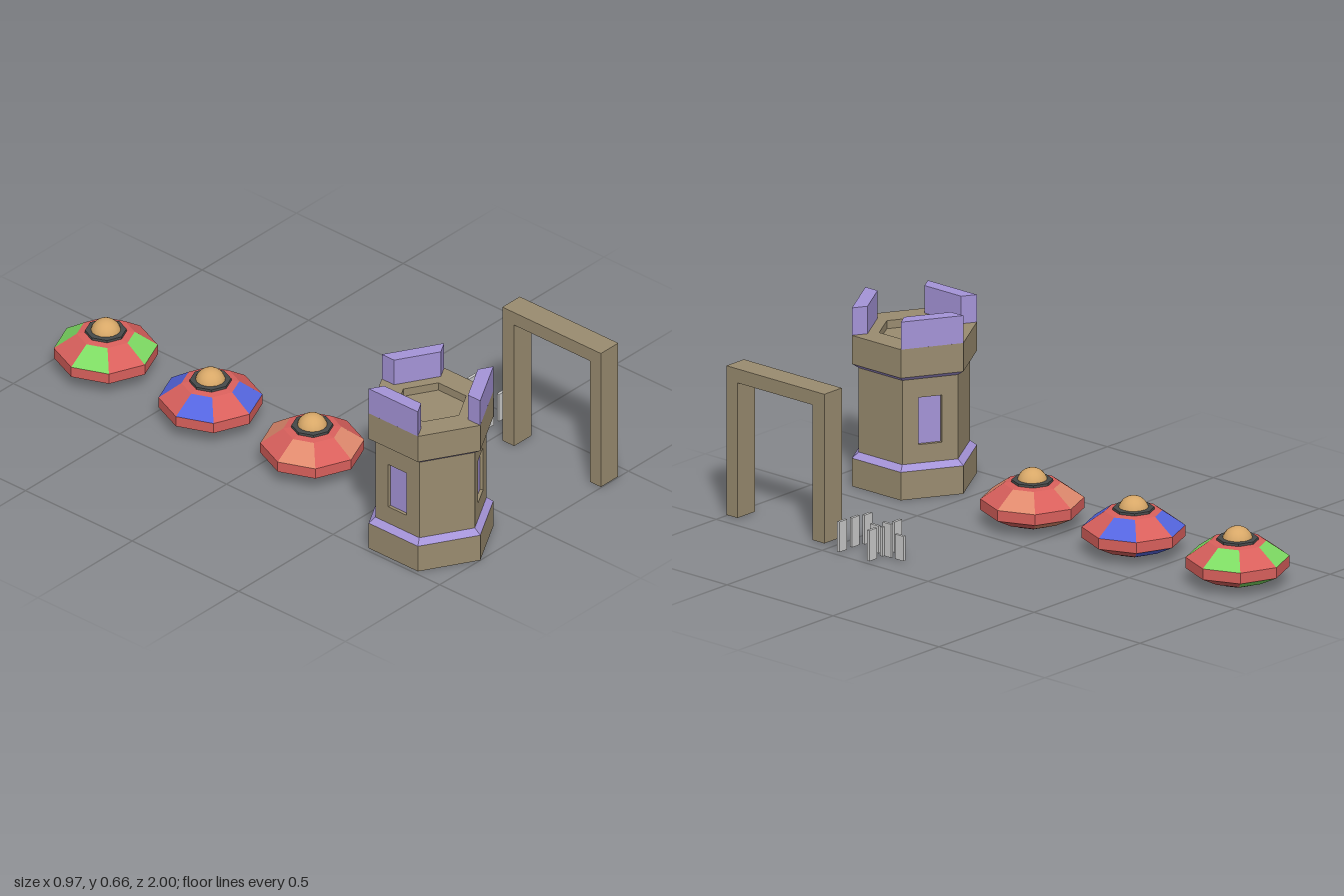
import * as THREE from 'three';

const paint = (color, flat = true) => new THREE.MeshStandardMaterial({ color, flatShading: flat });
const stone = paint(0x9a8c70), purple = paint(0xa594d8), red = paint(0xd9605c);
const dark = paint(0x454949), amber = paint(0xd8a868, false), grey = paint(0xcccccc);

function add(parent, name, geometry, material, x = 0, y = 0, z = 0) {
  const mesh = new THREE.Mesh(geometry, material);
  mesh.name = name;
  mesh.position.set(x, y, z);
  parent.add(mesh);
  return mesh;
}

// Surface of revolution from [radius, height] pairs
const lathe = (pts, sides, start = 0, length = Math.PI * 2) =>
  new THREE.LatheGeometry(pts.map(([r, y]) => new THREE.Vector2(r, y)), sides, start, length);

const polygon = (pts) => new THREE.Shape(pts.map(([x, y]) => new THREE.Vector2(x, y)));

// Hexagonal tower with recessed windows and three battlements
function createTower() {
  const tower = new THREE.Group();
  tower.name = 'tower';
  const R = 0.231, shaftR = 0.2055, apothem = 0.178;
  const y0 = 0.127, y1 = 0.44, recess = 0.012;

  add(tower, 'towerBase', lathe([[0, 0.003], [R, 0.003], [R, 0.107]], 6), stone);
  add(tower, 'lowerLedge', lathe([[R, 0.107], [shaftR, y0]], 6), purple);
  add(tower, 'upperLedge', lathe([[shaftR, y1], [R, 0.457]], 6), purple);
  add(tower, 'towerCrown',
    lathe([[R, 0.457], [R, 0.563], [0.13, 0.563], [0.13, 0.533], [0, 0.533]], 6), stone);

  for (let i = 0; i < 6; i++) {
    const side = new THREE.Group();
    side.name = 'towerSide';
    side.rotation.y = Math.PI / 6 + i * Math.PI / 3;
    tower.add(side);

    const h = shaftR / 2;
    const wall = polygon([[-h, y0], [h, y0], [h, y1], [-h, y1]]);
    const decorated = i % 2 === 0;
    if (decorated) {
      wall.holes.push(polygon([[-0.043, 0.195], [-0.043, 0.37], [0.043, 0.37], [0.043, 0.195]]));
      add(side, 'windowPane', new THREE.PlaneGeometry(0.086, 0.175), purple,
        0, 0.2825, apothem - recess);
      const block = polygon([[-R / 2, -0.2], [R / 2, -0.2], [0.0866, -0.15], [-0.0866, -0.15]]);
      const merlon = new THREE.ExtrudeGeometry(block, { depth: 0.102, bevelEnabled: false });
      merlon.rotateX(-Math.PI / 2);
      add(side, 'battlement', merlon, purple, 0, 0.563, 0);
    }
    add(side, 'wall', new THREE.ExtrudeGeometry(wall, { depth: recess, bevelEnabled: false }),
      stone, 0, 0, apothem - recess);
  }
  return tower;
}

// Eight-sided saucer with alternating coloured panels
function createSaucer(color) {
  const saucer = new THREE.Group();
  saucer.name = 'saucer';
  const accent = paint(color), step = Math.PI / 4;
  const under = [[0.11, 0.022], [0.183, 0.06]];
  const over = [[0.183, 0.1], [0.102, 0.157]];

  add(saucer, 'rim', lathe([[0.183, 0.06], [0.183, 0.1]], 8), red);
  add(saucer, 'shoulder', lathe([[0.102, 0.157], [0.07, 0.162]], 8), red);
  add(saucer, 'belly', lathe([[0.07, 0.018], [0.11, 0.022]], 8), red);
  for (let i = 0; i < 8; i++) {
    add(saucer, 'upperPanel', lathe(over, 1, i * step, step), i % 2 ? red : accent);
    add(saucer, 'lowerPanel', lathe(under, 1, i * step, step), i % 2 ? accent : red);
  }
  add(saucer, 'foot', lathe([[0, 0.006], [0.066, 0.006], [0.076, 0.021]], 8), dark);
  add(saucer, 'collar', lathe([[0.075, 0.155], [0.073, 0.17], [0.05, 0.172]], 8), dark);
  add(saucer, 'dome',
    new THREE.SphereGeometry(0.055, 16, 8, 0, Math.PI * 2, 0, Math.PI / 2), amber, 0, 0.157, 0);
  return saucer;
}

// Square gateway extruded along x
function createGate() {
  const outline = polygon([
    [-1, 0.006], [-0.948, 0.006], [-0.948, 0.508], [-0.593, 0.508],
    [-0.593, 0.006], [-0.538, 0.006], [-0.538, 0.56], [-1, 0.56],
  ]);
  const geometry = new THREE.ExtrudeGeometry(outline, { depth: 0.092, bevelEnabled: false });
  geometry.rotateY(Math.PI / 2);
  const gate = new THREE.Group();
  gate.name = 'gate';
  add(gate, 'gateFrame', geometry, stone, 0.354, 0, 0);
  return gate;
}

// Small upright slabs: [x, z, bottom, top, turned sideways]
function createSlabs() {
  const slabs = new THREE.Group();
  slabs.name = 'slabs';
  const layout = [
    [0.34, 0.43, 0.006, 0.115, false], [0.393, 0.442, 0.006, 0.115, false],
    [0.46, 0.441, 0.006, 0.118, false], [0.343, 0.287, 0.01, 0.123, false],
    [0.395, 0.297, 0.006, 0.115, false], [0.464, 0.297, 0.006, 0.12, false],
    [0.393, 0.345, 0.006, 0.107, true], [0.4, 0.28, 0.006, 0.13, true],
    [0.398, 0.223, 0.006, 0.098, true],
  ];
  for (const [x, z, low, high, turned] of layout) {
    const slab = add(slabs, 'slab', new THREE.BoxGeometry(0.04, high - low, 0.011), grey,
      x, (low + high) / 2, z);
    if (turned) slab.rotation.y = Math.PI / 2;
  }
  return slabs;
}

export function createModel() {
  const model = new THREE.Group();
  model.name = 'castleAndSaucers';

  const tower = createTower();
  tower.position.set(-0.285, 0, 0.769);
  model.add(tower, createGate(), createSlabs());

  const fleet = [[-0.204, 0.14, 0xe08a6e], [-0.217, -0.326, 0x5566e0], [-0.217, -0.817, 0x7edb63]];
  for (const [x, z, color] of fleet) {
    const saucer = createSaucer(color);
    saucer.position.set(x, 0, z);
    model.add(saucer);
  }
  return model;
}
